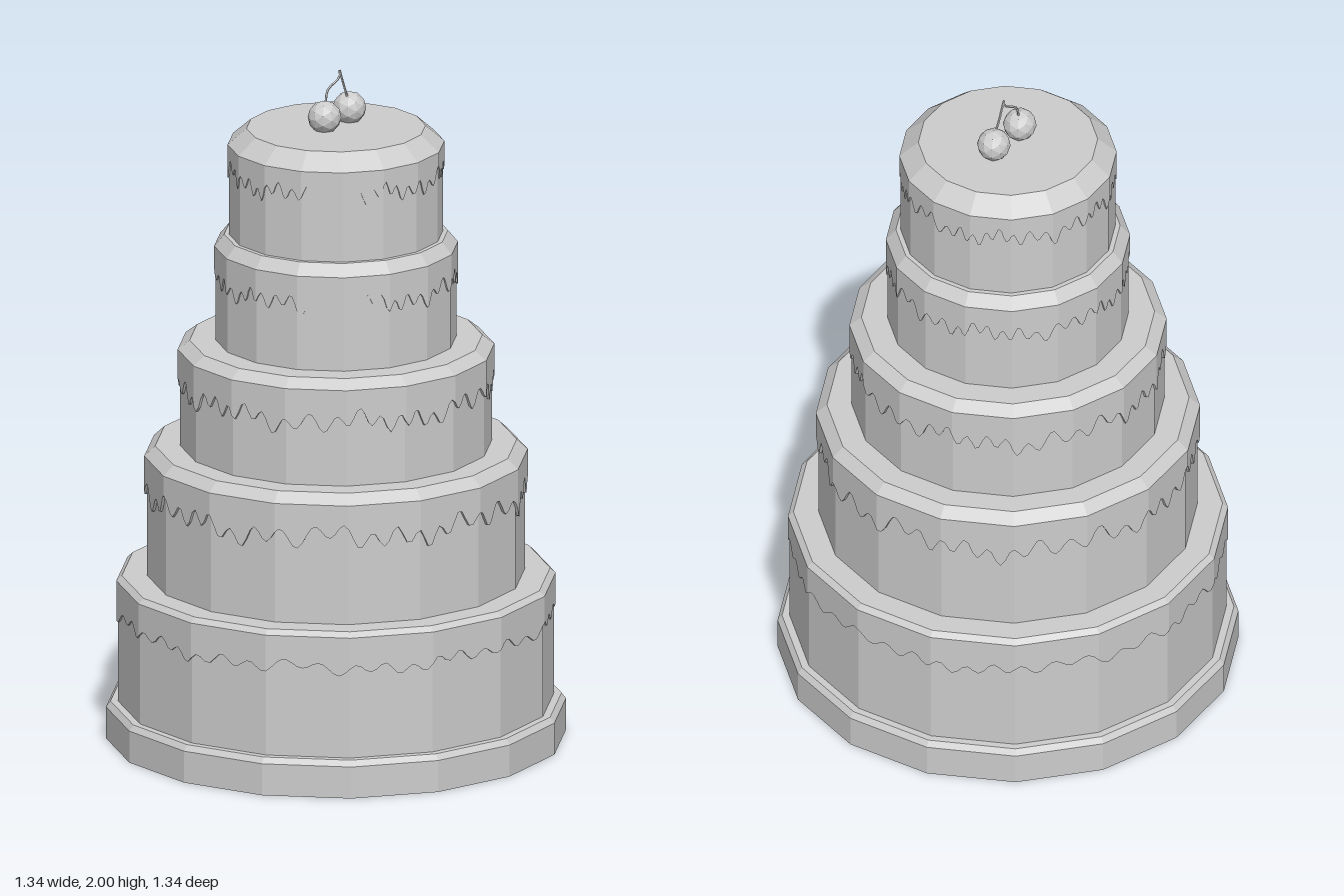
import * as THREE from 'three';

const SIDES = 16;

// Faceted solid of revolution; profile runs from bottom to top
function turned(name, profile, material) {
  const points = profile.map(([r, y]) => new THREE.Vector2(r, y));
  const mesh = new THREE.Mesh(new THREE.LatheGeometry(points, SIDES), material);
  mesh.name = name;
  return mesh;
}

// Point on a sixteen-sided outline with corners on the axes
function outline(r, t) {
  const side = Math.floor(t), f = t - side, step = (Math.PI * 2) / SIDES;
  const a = side * step, b = (side + 1) * step;
  return [
    r * (Math.sin(a) * (1 - f) + Math.sin(b) * f),
    r * (Math.cos(a) * (1 - f) + Math.cos(b) * f),
  ];
}

// Icing skirt with a wavy dripping lower edge and a small underside lip
function dripBand({ icing, cake, shoulder, drip, wave, seed }, material) {
  const perSide = 16, count = SIDES * perSide;
  const positions = [], index = [];
  for (let i = 0; i <= count; i++) {
    const t = i / perSide, a = (i / count) * Math.PI * 2;
    const y = drip + wave * (0.55 * Math.sin(43 * a + seed + 1.5 * Math.sin(5 * a))
      + 0.3 * Math.sin(17 * a + seed * 2) + 0.25 * Math.sin(7 * a + seed * 3));
    const [ox, oz] = outline(icing, t);
    const [ix, iz] = outline(cake - 0.002, t);
    positions.push(ox, shoulder, oz, ox, y, oz, ix, y, iz);
    if (i === count) continue;
    for (let k = 0; k < 2; k++) {
      const p = i * 3 + k, q = p + 3;
      index.push(p, p + 1, q + 1, p, q + 1, q);
    }
  }
  const geometry = new THREE.BufferGeometry();
  geometry.setAttribute('position', new THREE.Float32BufferAttribute(positions, 3));
  geometry.setIndex(index);
  geometry.computeVertexNormals();
  const mesh = new THREE.Mesh(geometry, material);
  mesh.name = 'icingDrips';
  return mesh;
}

export function createModel() {
  const model = new THREE.Group();
  model.name = 'tieredCake';
  const grey = new THREE.MeshStandardMaterial({ color: 0xcccccc, flatShading: true });
  grey.name = 'plainGrey';

  // Cake board
  model.add(turned('cakeBoard', [[0, 0], [0.668, 0], [0.668, 0.095], [0.655, 0.112], [0, 0.112]], grey));

  // Five stacked tiers, each a cake body under bevelled icing
  const tiers = [
    { bottom: 0.11, shoulder: 0.475, top: 0.49, cake: 0.633, icing: 0.638, rim: 0.622, drip: 0.38, wave: 0.025 },
    { bottom: 0.48, shoulder: 0.85, top: 0.88, cake: 0.549, icing: 0.557, rim: 0.525, drip: 0.75, wave: 0.045 },
    { bottom: 0.87, shoulder: 1.17, top: 1.197, cake: 0.453, icing: 0.46, rim: 0.425, drip: 1.07, wave: 0.04 },
    { bottom: 1.18, shoulder: 1.48, top: 1.515, cake: 0.35, icing: 0.354, rim: 0.325, drip: 1.39, wave: 0.035 },
    { bottom: 1.5, shoulder: 1.785, top: 1.833, cake: 0.311, icing: 0.315, rim: 0.26, drip: 1.71, wave: 0.035 },
  ];
  tiers.forEach((tier, i) => {
    const group = new THREE.Group();
    group.name = `tier${i + 1}`;
    group.add(turned('cakeBody', [[tier.cake, tier.bottom], [tier.cake, tier.shoulder]], grey));
    group.add(turned('icingTop', [[tier.icing, tier.shoulder], [tier.rim, tier.top], [0, tier.top]], grey));
    group.add(dripBand({ ...tier, seed: i * 1.7 }, grey));
    model.add(group);
  });

  // Pair of cherries with stems joined at the tip
  const cherries = [
    { name: 'rightCherry', at: [-0.043, 1.871, 0.012], stem: [[-0.036, 1.905, 0.003], [-0.025, 1.947, -0.003], [0.018, 1.977, -0.014]] },
    { name: 'leftCherry', at: [0.065, 1.871, -0.044], stem: [[0.052, 1.905, -0.03], [0.038, 1.945, -0.025], [0.025, 1.977, -0.016]] },
  ];
  for (const { name, at, stem } of cherries) {
    const fruit = new THREE.Mesh(new THREE.IcosahedronGeometry(0.049, 1), grey);
    fruit.name = name;
    fruit.position.set(...at);
    const path = new THREE.CatmullRomCurve3([...stem, [0.019, 1.998, -0.015]].map((p) => new THREE.Vector3(...p)));
    const stalk = new THREE.Mesh(new THREE.TubeGeometry(path, 8, 0.0035, 5), grey);
    stalk.name = `${name}Stem`;
    model.add(fruit, stalk);
  }
  return model;
}
